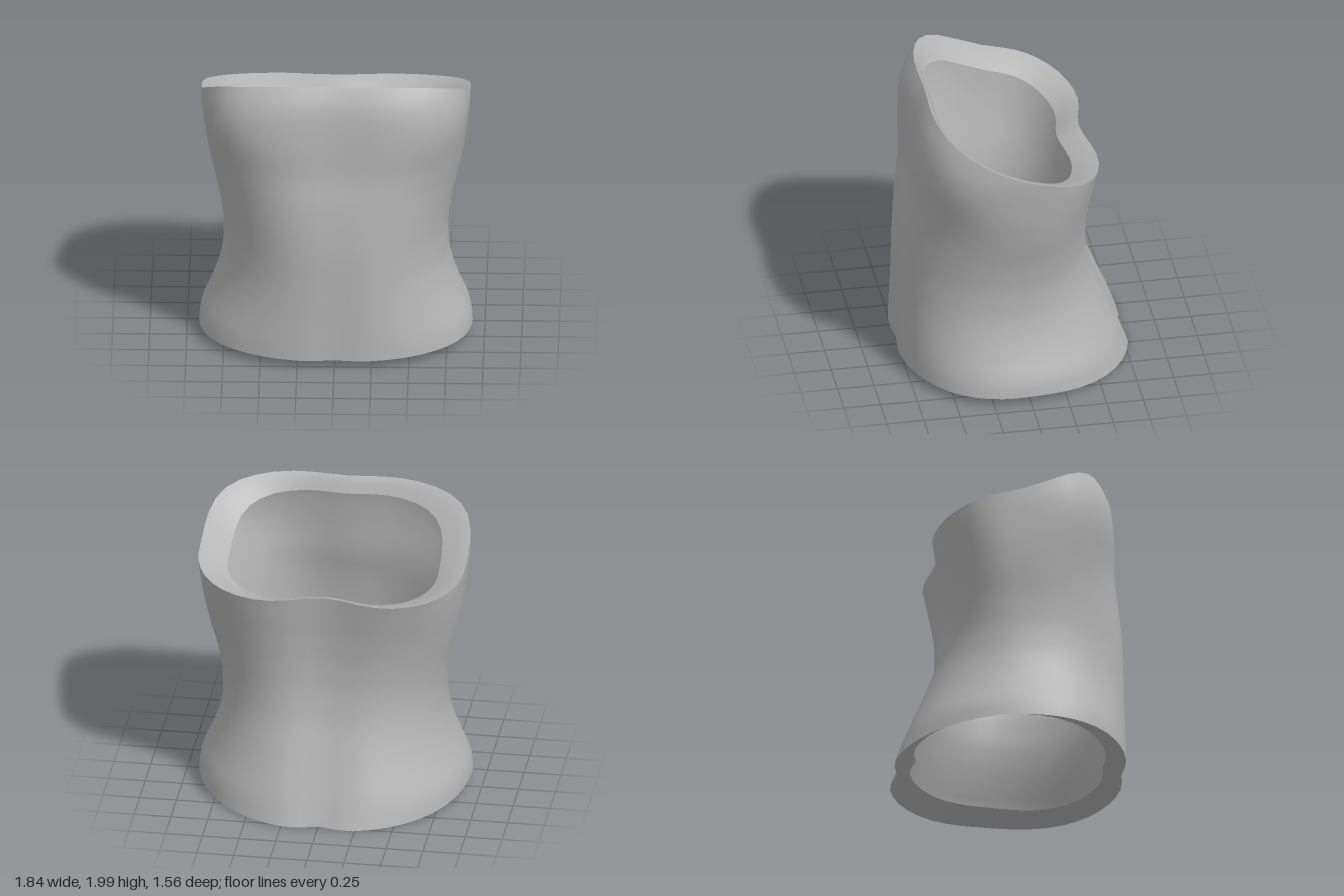
import * as THREE from 'three';

const SEGMENTS = 48;
const ROWS = 26;

// Piecewise linear lookup in a list of [key, value] pairs with rising keys
function lookup(table, k) {
  if (k <= table[0][0]) return table[0][1];
  for (let i = 1; i < table.length; i++) {
    const [k0, v0] = table[i - 1], [k1, v1] = table[i];
    if (k <= k1) return v0 + (v1 - v0) * (k - k0) / (k1 - k0);
  }
  return table[table.length - 1][1];
}

// Body measurements by height
const halfWidth = [[0.07, 0.92], [0.16, 0.91], [0.3, 0.845], [0.45, 0.79], [0.6, 0.757],
  [0.8, 0.755], [1, 0.785], [1.2, 0.835], [1.4, 0.872], [1.6, 0.895], [1.7, 0.905], [2, 0.9]];
const frontDepth = [[0.06, 0.793], [0.8, 0.79], [1, 0.775], [1.2, 0.75], [1.35, 0.715],
  [1.6, 0.7], [1.8, 0.68], [1.9, 0.655], [2, 0.592]];
const backDepth = [[0, 0.805], [0.2, 0.735], [0.4, 0.655], [0.6, 0.58], [0.7, 0.55],
  [0.9, 0.517], [1.1, 0.515], [1.3, 0.535], [1.5, 0.57], [1.6, 0.59]];
// Squareness of the cross-section by height, fullest at the bust
const frontSquareness = [[0, 2.2], [0.8, 2.17], [1.2, 2.3], [1.4, 2.75], [1.6, 3.4], [1.75, 3.5], [2, 2.9]];
const backSquareness = [[0, 2.2], [0.8, 2.12], [1.2, 2.3], [1.6, 2.65]];
// Height of the two rims by z
const topRim = [[-0.54, 1.58], [-0.25, 1.67], [0, 1.73], [0.2, 1.81], [0.35, 1.89], [0.58, 2]];
const bottomRim = [[-0.78, 0.005], [-0.45, 0.03], [-0.1, 0.06], [0.77, 0.06]];

// Rounded-box outline at a height, with a soft groove down the spine and front
function outline(theta, y) {
  const t = THREE.MathUtils.clamp(y / 1.6, 0, 1);
  const s = Math.sin(theta), c = Math.cos(theta);
  const n = lookup(c > 0 ? frontSquareness : backSquareness, y);
  const r = Math.pow(Math.abs(s) ** n + Math.abs(c) ** n, -1 / n);
  const middle = 0.1 - 0.18 * t;
  const x = r * s * lookup(halfWidth, y);
  const depth = c > 0 ? lookup(frontDepth, y) - middle : lookup(backDepth, y) + middle;
  const groove = c > 0 ? 0.03 : 0.05 + 0.055 * t ** 3;
  const spread = 0.13 + (c > 0 ? 0.12 : 0.17) * t;
  const z = middle + r * c * depth - Math.sign(c) * groove * Math.exp(-((x / spread) ** 2));
  return [x, z];
}

// Point on the body: v runs from the bottom rim to the top rim
function bodyPoint(theta, v) {
  let y = 0.06 + v * 1.7, x = 0, z = 0;
  for (let i = 0; i < 30; i++) {
    [x, z] = outline(theta, y);
    const target = THREE.MathUtils.lerp(lookup(bottomRim, z), lookup(topRim, z), v);
    y += (target - y) * 0.6;
  }
  return [x, y, z];
}

// Smooth closed band through rows of points
function band(name, rows, pointAt, material) {
  const positions = [], index = [];
  for (let r = 0; r <= rows; r++) {
    for (let i = 0; i < SEGMENTS; i++) {
      positions.push(...pointAt(i / SEGMENTS * Math.PI * 2, r / rows));
      if (r === rows) continue;
      const j = (i + 1) % SEGMENTS, a = r * SEGMENTS, b = a + SEGMENTS;
      index.push(a + i, a + j, b + j, a + i, b + j, b + i);
    }
  }
  const geometry = new THREE.BufferGeometry();
  geometry.setAttribute('position', new THREE.Float32BufferAttribute(positions, 3));
  geometry.setIndex(index);
  geometry.computeVertexNormals();
  const mesh = new THREE.Mesh(geometry, material);
  mesh.name = name;
  return mesh;
}

export function createModel() {
  const cloth = new THREE.MeshStandardMaterial({ color: 0xb4b4b4, side: THREE.DoubleSide });
  cloth.name = 'grey cloth';
  const group = new THREE.Group();
  group.name = 'strapless bodice';

  // Fitted outer shell
  group.add(band('bodice', ROWS, bodyPoint, cloth));

  // Top edge turned inward and down, deeper at the front
  group.add(band('topHem', 4, (theta, v) => {
    const [x, y, z] = bodyPoint(theta, 1);
    const drop = 0.087 + 0.04 * z;
    return [x * (1 - 0.21 * v), y - drop * v ** 1.3, z * (1 - (z > 0 ? 0.1 : 0.31) * v)];
  }, cloth));

  // Bottom edge turned inward and up, higher at the back
  group.add(band('bottomHem', 3, (theta, v) => {
    const [x, y, z] = bodyPoint(theta, 0);
    const k = 1 - 0.17 * (1 - v);
    return [x * k, y + (0.075 - 0.035 * z) * (1 - v), z * k];
  }, cloth));

  return group;
}
